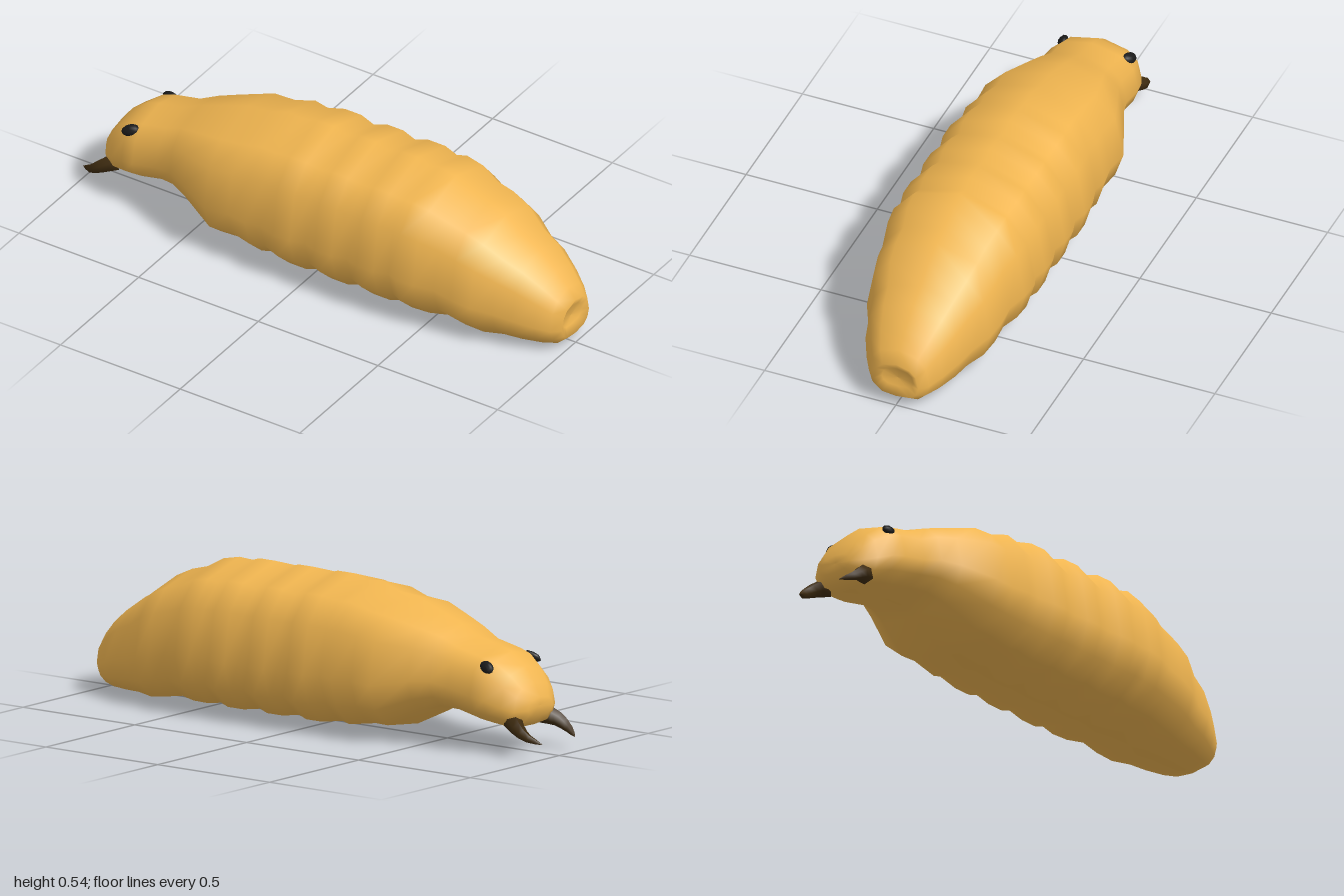
import * as THREE from 'three';

const skin = new THREE.MeshStandardMaterial({ color: 0xf0b550 });
const horn = new THREE.MeshStandardMaterial({ color: 0x3f2c10 });
const black = new THREE.MeshStandardMaterial({ color: 0x1a1a1a });

// Half outline of a body ring, top to bottom: [half width, height], both 0..1
const outline = [[0, 1], [0.617, 0.9], [0.89, 0.724], [1, 0.39], [0.89, 0.185], [0.617, 0.044], [0, 0]];
const ring = [...outline, ...outline.slice(1, -1).reverse().map(([w, h]) => [-w, h])];

// Joins a list of closed rings of Vector3 into one smooth skin
function loft(rings) {
  const n = rings[0].length, index = [];
  for (let i = 0; i < rings.length - 1; i++) {
    for (let j = 0; j < n; j++) {
      const a = i * n + j, b = i * n + (j + 1) % n;
      index.push(a, b, a + n, b, b + n, a + n);
    }
  }
  const geometry = new THREE.BufferGeometry().setFromPoints(rings.flat());
  geometry.setIndex(index);
  geometry.computeVertexNormals();
  return geometry;
}

// Body stations: [x, bottom, top, half width]
const head = [
  [-0.915, 0.17, 0.17, 0], [-0.917, 0.135, 0.2, 0.07], [-0.89, 0.1, 0.25, 0.115], [-0.85, 0.088, 0.302, 0.142],
  [-0.79, 0.097, 0.348, 0.166], [-0.74, 0.105, 0.362, 0.176], [-0.64, 0.127, 0.383, 0.176],
  [-0.57, 0.13, 0.418, 0.195], [-0.5, 0.108, 0.443, 0.225], [-0.37, 0.037, 0.49, 0.278],
  [-0.28, 0.037, 0.5, 0.268], [-0.2, 0.017, 0.528, 0.28], [-0.145, 0.03, 0.52, 0.27],
];
const tail = [
  [0.43, 0.013, 0.531, 0.284], [0.5, 0.014, 0.517, 0.276], [0.57, 0.025, 0.48, 0.252],
  [0.64, 0.01, 0.462, 0.25], [0.71, 0.001, 0.43, 0.235], [0.78, 0.008, 0.372, 0.2],
  [0.85, 0.008, 0.335, 0.18], [0.92, 0.01, 0.275, 0.146], [0.97, 0.018, 0.222, 0.115],
  [1, 0.042, 0.18, 0.085], [0.985, 0.075, 0.15, 0.06], [0.98, 0.11, 0.11, 0],
];

function body() {
  // Three equal folds between the head and tail stations
  const folds = [];
  for (let i = 0; i < 3; i++) {
    const x = -0.08 + i * 0.175;
    folds.push([x, 0.011, 0.537, 0.287], [x + 0.07, 0.011, 0.537, 0.287], [x + 0.125, 0.028, 0.52, 0.273]);
  }
  const rings = [...head, ...folds, ...tail].map(([x, low, high, half]) =>
    ring.map(([w, h]) => new THREE.Vector3(x, low + h * (high - low), w * half)));
  const mesh = new THREE.Mesh(loft(rings), skin);
  mesh.name = 'body';
  return mesh;
}

// Curved, tapering jaw; side is +1 or -1 along z
function mandible(side) {
  const path = new THREE.CatmullRomCurve3([
    new THREE.Vector3(-0.86, 0.122, 0.085 * side), new THREE.Vector3(-0.9, 0.104, 0.112 * side),
    new THREE.Vector3(-0.945, 0.077, 0.117 * side), new THREE.Vector3(-1, 0.052, 0.09 * side),
  ]);
  const steps = 6, sides = 6;
  const geometry = new THREE.TubeGeometry(path, steps, 1, sides, false);
  const p = geometry.attributes.position, v = new THREE.Vector3();
  for (let i = 0; i < p.count; i++) {
    const t = Math.floor(i / (sides + 1)) / steps;
    const centre = path.getPointAt(t);
    v.fromBufferAttribute(p, i).sub(centre).multiplyScalar(0.036 * (1 - t) ** 0.8).add(centre);
    p.setXYZ(i, v.x, v.y, v.z);
  }
  geometry.computeVertexNormals();
  const mesh = new THREE.Mesh(geometry, horn);
  mesh.name = side > 0 ? 'leftMandible' : 'rightMandible';
  return mesh;
}

// Flat oval eye lying on the slope of the head
function eye(side) {
  const mesh = new THREE.Mesh(new THREE.SphereGeometry(1, 8, 6), black);
  mesh.scale.set(0.036, 0.021, 0.015);
  mesh.rotation.set(-0.7 * side, 0, 0.45);
  mesh.position.set(-0.777, 0.308, 0.127 * side);
  mesh.name = side > 0 ? 'leftEye' : 'rightEye';
  return mesh;
}

export function createModel() {
  const group = new THREE.Group();
  group.name = 'grub';
  group.add(body());
  for (const side of [1, -1]) group.add(mandible(side), eye(side));
  return group;
}
